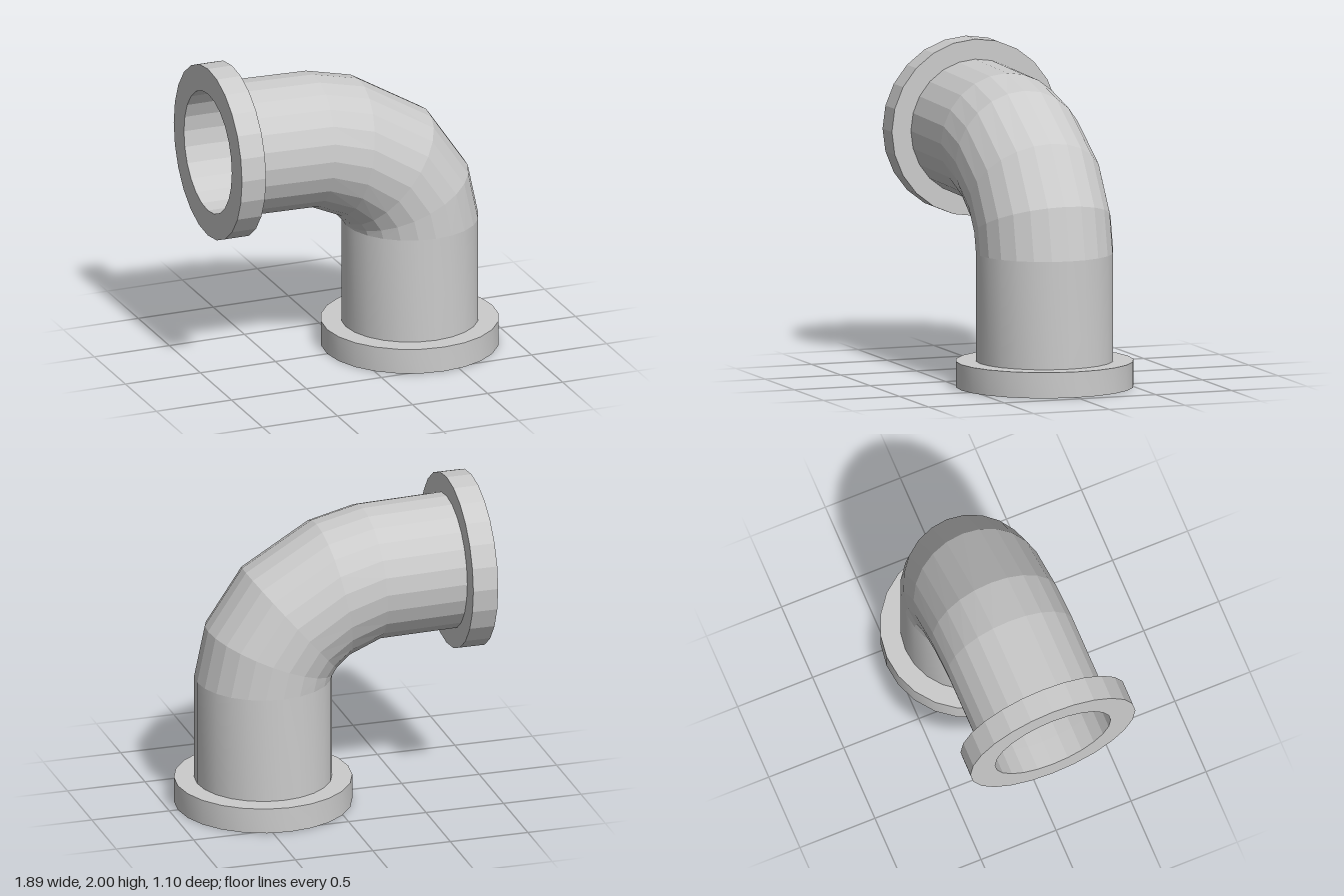
import * as THREE from 'three';
import { toCreasedNormals } from 'three/addons/utils/BufferGeometryUtils.js';

const SIDES = 24;
const PIPE_R = 0.425, BORE_R = 0.385, FLANGE_R = 0.55, FLANGE_H = 0.16;
const PIPE_X = 0.395, OUTLET_Y = 1.45;

const smooth = new THREE.MeshStandardMaterial({ color: 0xcccccc });
const faceted = new THREE.MeshStandardMaterial({ color: 0xcccccc, flatShading: true });

// Hollow cylinder with square edges, standing from y0 to y1
function hollowRing(rOuter, y0, y1) {
  const profile = [[BORE_R, y0], [rOuter, y0], [rOuter, y1], [BORE_R, y1], [BORE_R, y0]];
  const lathe = new THREE.LatheGeometry(profile.map(([r, y]) => new THREE.Vector2(r, y)), SIDES);
  return toCreasedNormals(lathe, 0.6);
}

// Skin through rings given as [outerX, outerY, innerX, innerY] across the bend
function bendSkin(rings, scale, inward) {
  const positions = [], index = [];
  rings.forEach(([ox, oy, ix, iy]) => {
    for (let j = 0; j < SIDES; j++) {
      const a = (j / SIDES) * Math.PI * 2;
      const c = Math.cos(a) * scale / 2;
      positions.push((ox + ix) / 2 + (ox - ix) * c, (oy + iy) / 2 + (oy - iy) * c, PIPE_R * scale * Math.sin(a));
    }
  });
  for (let i = 0; i < rings.length - 1; i++) {
    for (let j = 0; j < SIDES; j++) {
      const a = i * SIDES + j, b = i * SIDES + (j + 1) % SIDES;
      const c = a + SIDES, d = b + SIDES;
      if (inward) index.push(a, b, c, b, d, c);
      else index.push(a, c, b, b, c, d);
    }
  }
  const geometry = new THREE.BufferGeometry();
  geometry.setAttribute('position', new THREE.Float32BufferAttribute(positions, 3));
  geometry.setIndex(index);
  geometry.computeVertexNormals();
  return geometry;
}

export function createModel() {
  const model = new THREE.Group();
  model.name = 'pipeElbow';
  const add = (name, geometry, material) => {
    const mesh = new THREE.Mesh(geometry, material);
    mesh.name = name;
    model.add(mesh);
    return mesh;
  };

  // Upright pipe on its base flange
  add('baseFlange', hollowRing(FLANGE_R, 0, FLANGE_H), smooth).position.x = PIPE_X;
  add('uprightPipe', hollowRing(PIPE_R, FLANGE_H, 0.83), smooth).position.x = PIPE_X;

  // Faceted bend running into the side outlet
  const rings = [
    [0.82, 0.83, -0.03, 0.83],
    [0.75, 1.16, -0.035, 0.84],
    [0.505, 1.52, -0.05, 0.865],
    [0.05, 1.79, -0.11, 0.93],
    [-0.25, 1.86, -0.3, 1.015],
    [-0.79, 1.875, -0.79, 1.025],
  ];
  add('bendOuter', bendSkin(rings, 1, false), faceted);
  add('bendBore', bendSkin(rings, BORE_R / PIPE_R, true), faceted);

  // Outlet flange facing -x
  const outlet = add('outletFlange', hollowRing(FLANGE_R, 0, FLANGE_H), faceted);
  outlet.rotation.z = Math.PI / 2;
  outlet.position.set(-0.79, OUTLET_Y, 0);

  return model;
}
